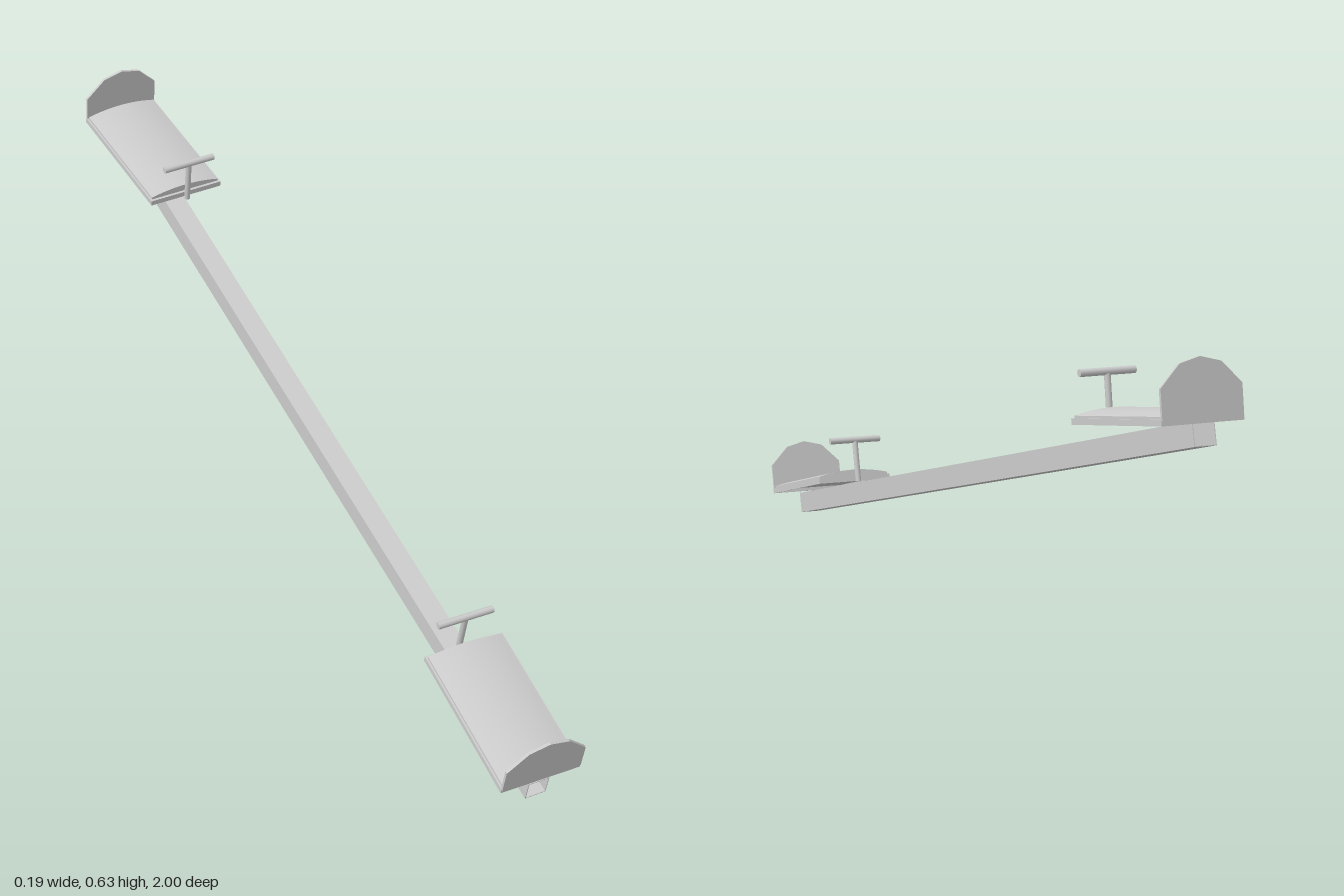
import * as THREE from 'three';
import { toCreasedNormals } from 'three/addons/utils/BufferGeometryUtils.js';

const grey = new THREE.MeshStandardMaterial({ color: 0xcccccc, side: THREE.DoubleSide });

function add(parent, name, geometry, x = 0, y = 0, z = 0) {
  const mesh = new THREE.Mesh(geometry, grey);
  mesh.name = name;
  mesh.position.set(x, y, z);
  parent.add(mesh);
  return mesh;
}

function extrude(shape, depth, curveSegments = 8) {
  const geo = new THREE.ExtrudeGeometry(shape, { depth, curveSegments, bevelEnabled: false });
  return toCreasedNormals(geo, 0.45);
}

// Group whose local z axis runs from one point to another, y staying up
function span(name, from, to) {
  const group = new THREE.Group();
  group.name = name;
  group.position.set(...from);
  group.lookAt(...to);
  group.userData.length = new THREE.Vector3(...from).distanceTo(new THREE.Vector3(...to));
  return group;
}

function rectangle(PathType, halfWidth, bottom, top) {
  return new PathType([[-halfWidth, bottom], [halfWidth, bottom], [halfWidth, top], [-halfWidth, top]]
    .map(([x, y]) => new THREE.Vector2(x, y)));
}

// Long sloping hollow beam, open at both ends
function makeBeam() {
  const beam = span('beam', [-0.011, 0, 0.96], [-0.01, 0.465, -1]);
  const profile = rectangle(THREE.Shape, 0.023, 0, 0.047);
  profile.holes.push(rectangle(THREE.Path, 0.0215, 0.0015, 0.0455));
  add(beam, 'beamTube', extrude(profile, beam.userData.length));
  return beam;
}

// Seat with handle at its inner end and backrest at its outer end
function makeSeat(name, inner, outer, barX) {
  const seat = span(name, inner, outer);
  const L = seat.userData.length;
  const half = 0.087;

  // Shallow pan: plate with a lip turned down all round
  add(seat, 'seatPan', new THREE.BoxGeometry(half * 2, 0.004, L), 0, 0.01, L / 2);
  for (const side of [-1, 1]) {
    add(seat, 'sideLip', new THREE.BoxGeometry(0.003, 0.011, L), side * (half - 0.0015), 0.0055, L / 2);
    add(seat, 'endLip', new THREE.BoxGeometry(half * 2, 0.011, 0.003), 0, 0.0055, L / 2 + side * (L / 2 - 0.0015));
  }

  // Gently domed seat surface
  const w = half - 0.004;
  const dome = new THREE.Shape();
  dome.moveTo(-w, 0.012);
  dome.lineTo(w, 0.012);
  dome.lineTo(w, 0.017);
  dome.quadraticCurveTo(0, 0.038, -w, 0.017);
  add(seat, 'seatTop', extrude(dome, L - 0.012, 12), 0, 0, 0.006);

  // Faceted rounded backrest
  const back = new THREE.Shape([
    [-0.086, 0.008], [0.086, 0.008], [0.086, 0.068], [0.044, 0.11],
    [0, 0.121], [-0.044, 0.11], [-0.086, 0.068],
  ].map(([x, y]) => new THREE.Vector2(x, y)));
  add(seat, 'backrest', extrude(back, 0.006), 0, 0, L - 0.004);

  // T-shaped handle
  add(seat, 'handlePost', new THREE.CylinderGeometry(0.0065, 0.0065, 0.098, 12), barX, 0.047, -0.006);
  const bar = add(seat, 'handleBar', new THREE.CylinderGeometry(0.0075, 0.0075, 0.122, 12), barX, 0.096, -0.006);
  bar.rotation.z = Math.PI / 2;
  return seat;
}

export function createModel() {
  const model = new THREE.Group();
  model.name = 'seesaw';
  model.add(
    makeBeam(),
    makeSeat('lowSeat', [0, 0.128, 0.645], [-0.009, 0.049, 0.972], -0.006),
    makeSeat('highSeat', [0.005, 0.461, -0.66], [-0.009, 0.506, -0.992], 0),
  );
  return model;
}
